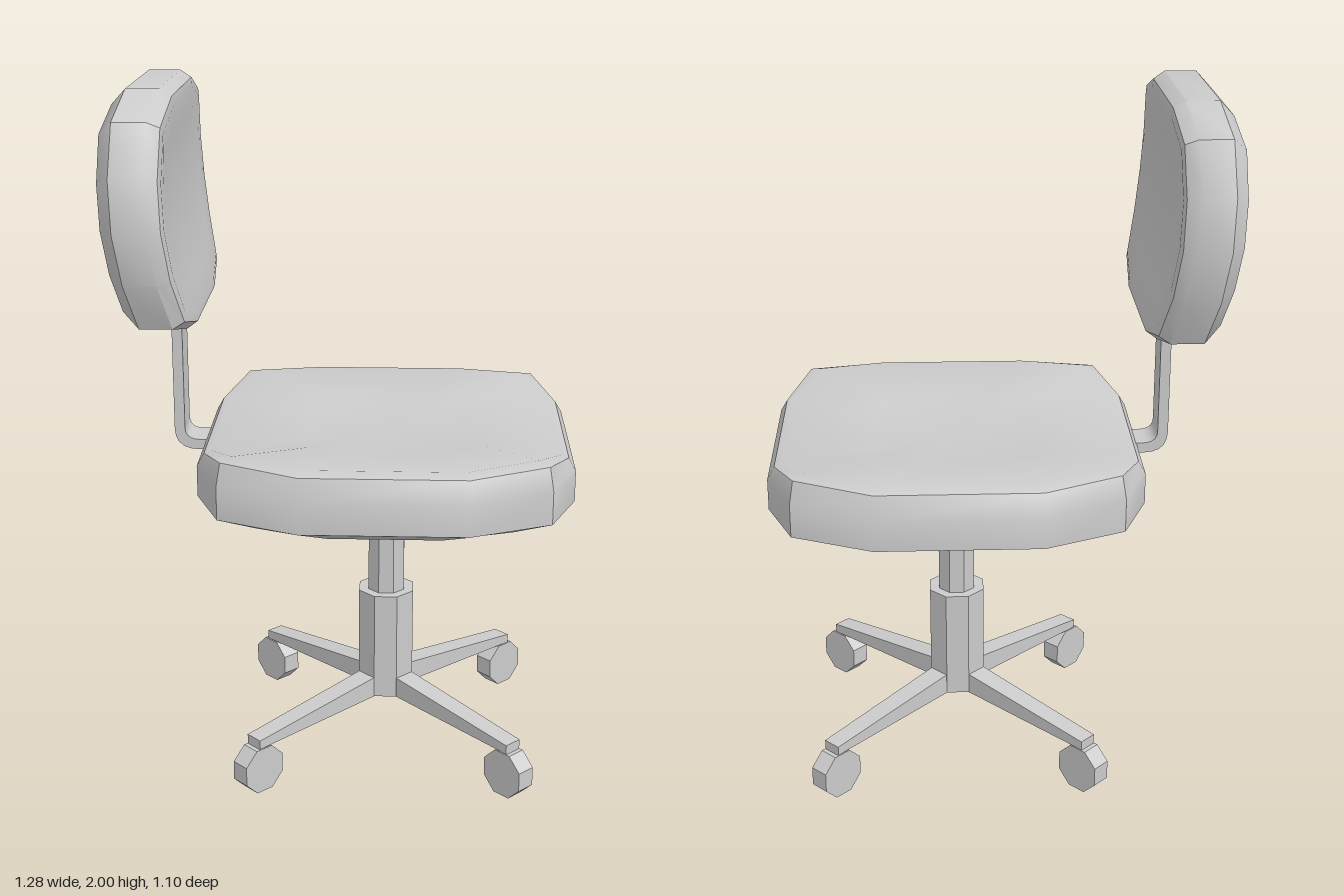
import * as THREE from 'three';
import { toCreasedNormals } from 'three/addons/utils/BufferGeometryUtils.js';

const CX = 0.11; // x of the column and seat centre
const material = new THREE.MeshStandardMaterial({ color: 0xcccccc });

function part(name, geometry) {
  const mesh = new THREE.Mesh(geometry, material);
  mesh.name = name;
  return mesh;
}

// Skin a list of closed rings; a ring of one point closes the end
function loft(rings, crease) {
  const pos = [];
  for (let k = 0; k + 1 < rings.length; k++) {
    const r = rings[k], s = rings[k + 1];
    const n = Math.max(r.length, s.length);
    for (let i = 0; i < n; i++) {
      const a = r[i % r.length], b = r[(i + 1) % n % r.length];
      const c = s[(i + 1) % n % s.length], d = s[i % s.length];
      if (r.length > 1) pos.push(...a, ...b, ...c);
      if (s.length > 1) pos.push(...a, ...c, ...d);
    }
  }
  const g = new THREE.BufferGeometry();
  g.setAttribute('position', new THREE.Float32BufferAttribute(pos, 3));
  return toCreasedNormals(g, crease);
}

// Twelve-sided seat ring from three [x, y, z] points of one quarter
function seatRing(front, corner, side) {
  const q = [front, corner, side];
  const at = ([x, y, z], sx, sz) => [CX + sx * x, y, sz * z];
  return [
    ...q.map(p => at(p, 1, -1)),
    ...[...q].reverse().map(p => at(p, -1, -1)),
    ...q.map(p => at(p, -1, 1)),
    ...[...q].reverse().map(p => at(p, 1, 1)),
  ];
}

function seat() {
  return part('seat', loft([
    [[CX, 0.785, 0]],
    seatRing([0.4, 0.803, 0.2], [0.36, 0.798, 0.33], [0.16, 0.786, 0.37]),
    seatRing([0.53, 0.87, 0.27], [0.455, 0.87, 0.455], [0.23, 0.868, 0.55]),
    seatRing([0.53, 0.96, 0.27], [0.455, 0.965, 0.455], [0.23, 0.955, 0.55]),
    seatRing([0.51, 0.995, 0.26], [0.445, 1.03, 0.44], [0.23, 1.018, 0.52]),
    seatRing([0.49, 1.0, 0.25], [0.415, 1.04, 0.415], [0.22, 1.03, 0.49]),
    seatRing([0.25, 0.99, 0.13], [0.21, 1.0, 0.21], [0.11, 0.998, 0.25]),
    [[CX, 0.985, 0]],
  ], 0.6));
}

// Backrest: outline in z and y, bent along a curve in x
function backrest() {
  const half = [[0.215, 2], [0.415, 1.94], [0.465, 1.8], [0.48, 1.66], [0.457, 1.52], [0.4, 1.39], [0.215, 1.343]];
  const outline = [...half, ...[...half].reverse().map(([z, y]) => [-z, y])];
  const midY = 1.67;
  const point = (y, z, dx) => [-0.557 + 0.33 * (y - 1.8) ** 2 + dx, y, z];
  const ring = (inset, dx) => outline.map(([z, y]) =>
    point(midY + (y - midY) * (1 - inset / 0.33), z * (1 - inset / 0.48), dx));
  return part('backrest', loft([
    [point(midY, 0, -0.086)],
    ring(0.2, -0.086), ring(0.1, -0.086), ring(0.045, -0.082),
    ring(0, -0.045), ring(0, 0.045),
    ring(0.02, 0.08), ring(0.045, 0.086), ring(0.12, 0.082), ring(0.22, 0.08),
    [point(midY, 0, 0.08)],
  ], 0.6));
}

// Bent flat bar joining seat and backrest
function backSupport() {
  const s = new THREE.Shape();
  s.moveTo(-0.51, 1.45);
  s.lineTo(-0.51, 1.0);
  s.quadraticCurveTo(-0.51, 0.935, -0.44, 0.935);
  s.lineTo(-0.3, 0.935);
  s.lineTo(-0.3, 0.965);
  s.lineTo(-0.435, 0.965);
  s.quadraticCurveTo(-0.48, 0.965, -0.48, 1.0);
  s.lineTo(-0.48, 1.45);
  const g = new THREE.ExtrudeGeometry(s, { depth: 0.11, bevelEnabled: false, curveSegments: 5 });
  g.translate(0, 0, -0.055);
  return part('backSupport', toCreasedNormals(g, 0.6));
}

// Octagonal prism with a flat side facing each axis
function octagon(flat, height) {
  const r = flat / Math.cos(Math.PI / 8);
  const g = new THREE.CylinderGeometry(r, r, height, 8).rotateY(Math.PI / 8);
  return toCreasedNormals(g, 0.3);
}

function column(name, flat, y0, y1) {
  const mesh = part(name, octagon(flat, y1 - y0));
  mesh.position.set(CX, (y0 + y1) / 2, 0);
  return mesh;
}

// One leg along +x with its caster
function leg() {
  const group = new THREE.Group();
  group.name = 'leg';
  const side = new THREE.Shape([[0.05, 0.155], [0.528, 0.138], [0.528, 0.165], [0.05, 0.22]]
    .map(([x, y]) => new THREE.Vector2(x, y)));
  const arm = new THREE.ExtrudeGeometry(side, { depth: 0.066, bevelEnabled: false });
  arm.translate(0, 0, -0.033);
  // Narrow the arm slightly towards its tip
  const p = arm.attributes.position;
  for (let i = 0; i < p.count; i++) if (p.getX(i) > 0.3) p.setZ(i, p.getZ(i) * 0.85);
  arm.computeVertexNormals();
  const neck = new THREE.BoxGeometry(0.04, 0.05, 0.05).translate(0.508, 0.137, 0);
  const wheel = octagon(0.068, 0.058).rotateX(Math.PI / 2).translate(0.513, 0.068, 0);
  group.add(part('legArm', arm), part('casterNeck', neck), part('casterWheel', wheel));
  return group;
}

export function createModel() {
  const chair = new THREE.Group();
  chair.name = 'officeChair';
  chair.add(seat(), backrest(), backSupport());
  chair.add(column('upperColumn', 0.053, 0.47, 0.8), column('lowerColumn', 0.081, 0.155, 0.485));
  for (let i = 0; i < 4; i++) {
    const l = leg();
    l.position.x = CX;
    l.rotation.y = Math.PI / 4 + i * Math.PI / 2;
    chair.add(l);
  }
  return chair;
}
